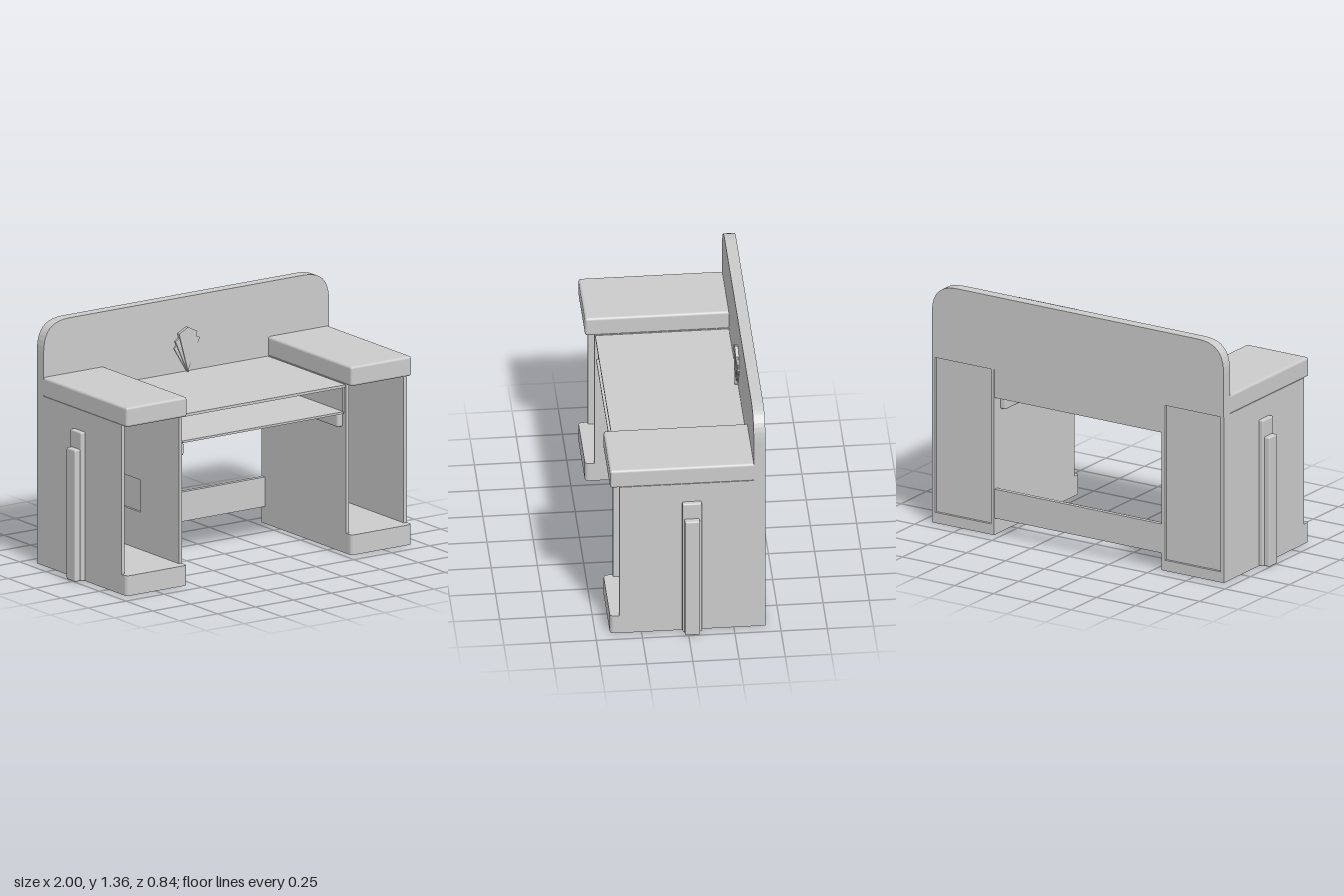
import * as THREE from 'three';
import { RoundedBoxGeometry } from 'three/addons/geometries/RoundedBoxGeometry.js';

const material = new THREE.MeshStandardMaterial({ color: 0xcccccc });

function add(parent, name, geometry) {
  const mesh = new THREE.Mesh(geometry, material);
  mesh.name = name;
  parent.add(mesh);
  return mesh;
}

// Box given by its limits; a radius rounds its edges.
function box(parent, name, [xa, xb], [ya, yb], [za, zb], radius = 0) {
  const size = [Math.abs(xb - xa), yb - ya, zb - za];
  const geometry = radius
    ? new RoundedBoxGeometry(...size, 2, radius)
    : new THREE.BoxGeometry(...size);
  geometry.translate((xa + xb) / 2, (ya + yb) / 2, (za + zb) / 2);
  return add(parent, name, geometry);
}

function rectangle(path, x0, x1, y0, y1) {
  path.moveTo(x0, y0);
  path.lineTo(x1, y0);
  path.lineTo(x1, y1);
  path.lineTo(x0, y1);
  path.closePath();
  return path;
}

// Rectangle with a rectangular opening, extruded along z.
function frame(outer, inner, depth) {
  const shape = rectangle(new THREE.Shape(), ...outer);
  shape.holes.push(rectangle(new THREE.Path(), ...inner));
  return new THREE.ExtrudeGeometry(shape, { depth, bevelEnabled: false });
}

// Upright slab whose two top corners are rounded.
function roundedTop(x, y0, y1, r, depth) {
  const shape = new THREE.Shape();
  const k = r * 0.3;
  shape.moveTo(-x, y0);
  shape.lineTo(x, y0);
  shape.lineTo(x, y1 - r);
  shape.bezierCurveTo(x, y1 - k, x - k, y1, x - r, y1);
  shape.lineTo(r - x, y1);
  shape.bezierCurveTo(k - x, y1, -x, y1 - k, -x, y1 - r);
  shape.closePath();
  return new THREE.ExtrudeGeometry(shape, { depth, bevelEnabled: false, curveSegments: 10 });
}

// One open-fronted cabinet; s is the side, +1 or -1.
function cabinet(s) {
  const group = new THREE.Group();
  group.name = s > 0 ? 'leftCabinet' : 'rightCabinet';
  const span = (a, b) => [Math.min(a * s, b * s), Math.max(a * s, b * s)];

  // plinth, with rounded front corners
  const [x0, x1] = span(0.54, 0.94);
  const r = 0.025;
  const plan = new THREE.Shape();
  plan.moveTo(x0, 0.405);
  plan.lineTo(x0, -0.42 + r);
  plan.quadraticCurveTo(x0, -0.42, x0 + r, -0.42);
  plan.lineTo(x1 - r, -0.42);
  plan.quadraticCurveTo(x1, -0.42, x1, -0.42 + r);
  plan.lineTo(x1, 0.405);
  plan.closePath();
  const plinth = new THREE.ExtrudeGeometry(plan, { depth: 0.112, bevelEnabled: false, curveSegments: 5 });
  add(group, 'plinth', plinth.rotateX(-Math.PI / 2));

  // walls; the inner one has a shallow recess facing into the cabinet
  box(group, 'outerWall', span(0.92, 0.94), [0.112, 0.945], [-0.405, 0.37]);
  const sheet = s > 0 ? 0.547 : -0.56;
  box(group, 'innerWall', span(0.54, 0.547), [0.112, 0.945], [-0.405, 0.37]);
  const lining = frame([-0.37, 0.405, 0.112, 0.945], [-0.01, 0.17, 0.32, 0.5], 0.013);
  add(group, 'recessedWallLining', lining.rotateY(Math.PI / 2).translate(sheet, 0, 0));

  // framed back
  const [h0, h1] = span(0.56, 0.92);
  const back = frame([x0, x1, 0, 1.02], [h0, h1, 0.06, 0.94], 0.015);
  add(group, 'backFrame', back.translate(0, 0, -0.42));
  box(group, 'backPanel', span(0.55, 0.93), [0.05, 0.95], [-0.405, -0.39]);

  // overhanging top
  box(group, 'cabinetTop', span(0.54, 0.94), [0.94, 1.05], [-0.405, 0.42], 0.014);

  // stepped pilaster on the outside
  box(group, 'pilasterBack', span(0.93, 0.967), [0, 0.83], [-0.075, 0.03], 0.008);
  box(group, 'pilasterFront', span(0.95, 1), [0, 0.735], [-0.062, 0.02], 0.008);

  // tray support beside the knee space
  box(group, 'trayRunner', span(0.505, 0.545), [0.7, 0.775], [-0.36, 0.34], 0.012);
  box(group, 'traySide', span(0.53, 0.54), [0.78, 0.925], [-0.39, 0.35]);
  return group;
}

// Stepped fan on the backboard, all rays rising from one point.
function fan() {
  const group = new THREE.Group();
  group.name = 'fanOrnament';
  const ray = (name, points, depth) => {
    const shape = new THREE.Shape(points.map(([x, y]) => new THREE.Vector2(x, y)));
    const geometry = new THREE.ExtrudeGeometry(shape, { depth, bevelEnabled: false });
    add(group, name, geometry.translate(0, 0, -0.358));
  };
  ray('centreRay', [[0, 0.94], [0.06, 1.16], [0, 1.19], [-0.06, 1.16]], 0.018);
  for (const s of [1, -1]) {
    ray('middleRay', [[0, 0.94], [0.08 * s, 1.12], [0.045 * s, 1.14]], 0.012);
    ray('outerRay', [[0, 0.94], [0.085 * s, 1.08], [0.065 * s, 1.1]], 0.006);
  }
  return group;
}

export function createModel() {
  const model = new THREE.Group();
  model.name = 'desk';
  model.add(cabinet(1), cabinet(-1));

  // worktop and keyboard tray
  box(model, 'worktop', [-0.54, 0.54], [0.925, 0.94], [-0.41, 0.365]);
  box(model, 'tray', [-0.53, 0.53], [0.778, 0.79], [-0.39, 0.36]);

  // rails across the back
  box(model, 'upperBackRail', [-0.54, 0.54], [0.78, 0.94], [-0.415, -0.39]);
  box(model, 'lowerBackRail', [-0.54, 0.54], [0.095, 0.26], [-0.415, -0.39]);

  // tall backboard and its ornament
  const board = roundedTop(0.94, 0.942, 1.357, 0.17, 0.063);
  add(model, 'backboard', board.translate(0, 0, -0.421));
  model.add(fan());
  return model;
}
